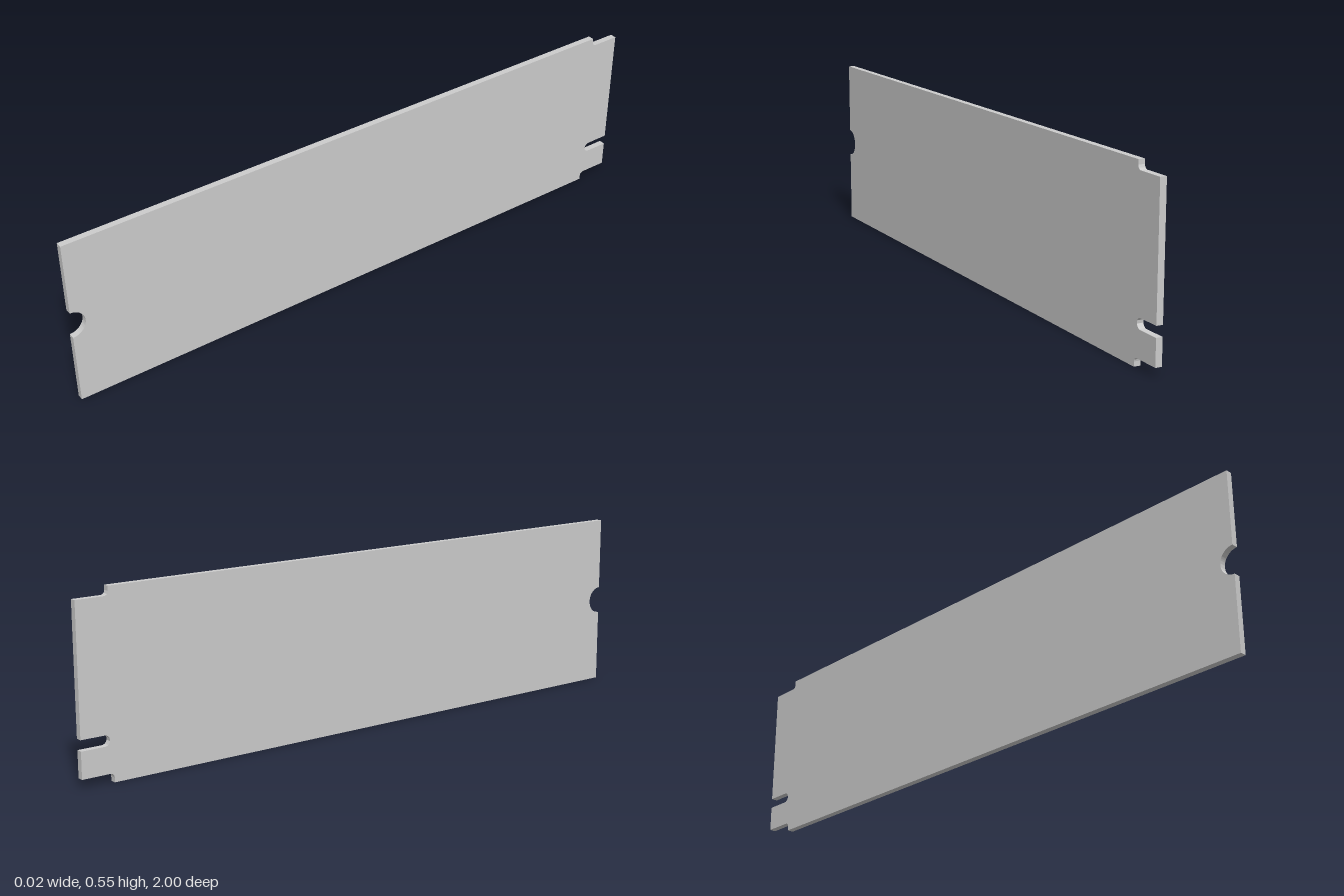
import * as THREE from 'three';
import { toCreasedNormals } from 'three/addons/utils/BufferGeometryUtils.js';

const HEIGHT = 0.552, THICKNESS = 0.02;
const STEP_U = 0.9, STEP_H = 0.027, FILLET = 0.013; // narrowed connector end
const SLOT_Y = 0.123, SLOT_R = 0.016, SLOT_U = 0.926; // key slot
const NOTCH_R = 0.044; // half-round screw notch

export function createModel() {
  const group = new THREE.Group();
  const P = Math.PI;

  // Side outline: u runs toward the back, y up
  const s = new THREE.Shape();
  s.moveTo(-1, 0);
  s.lineTo(STEP_U, 0);
  // lower step with rounded inner corner
  s.absarc(STEP_U + FILLET, STEP_H - FILLET, FILLET, P, P / 2, true);
  s.lineTo(1, STEP_H);
  // key slot
  s.lineTo(1, SLOT_Y - SLOT_R);
  s.absarc(SLOT_U, SLOT_Y, SLOT_R, -P / 2, P / 2, true);
  s.lineTo(1, SLOT_Y + SLOT_R);
  // upper step
  s.lineTo(1, HEIGHT - STEP_H);
  s.absarc(STEP_U + FILLET, HEIGHT - STEP_H + FILLET, FILLET, 1.5 * P, P, true);
  s.lineTo(STEP_U, HEIGHT);
  s.lineTo(-1, HEIGHT);
  // screw notch in the front edge
  s.absarc(-1, HEIGHT / 2, NOTCH_R, P / 2, -P / 2, true);
  s.closePath();

  const geo = new THREE.ExtrudeGeometry(s, { depth: THICKNESS, bevelEnabled: false, curveSegments: 24 });
  geo.translate(0, 0, -THICKNESS / 2);
  geo.rotateY(P / 2); // outline u becomes -z

  const board = new THREE.Mesh(
    toCreasedNormals(geo, 0.6),
    new THREE.MeshStandardMaterial({ color: 0xcccccc })
  );
  board.name = 'circuitBoard';
  group.add(board);
  return group;
}
